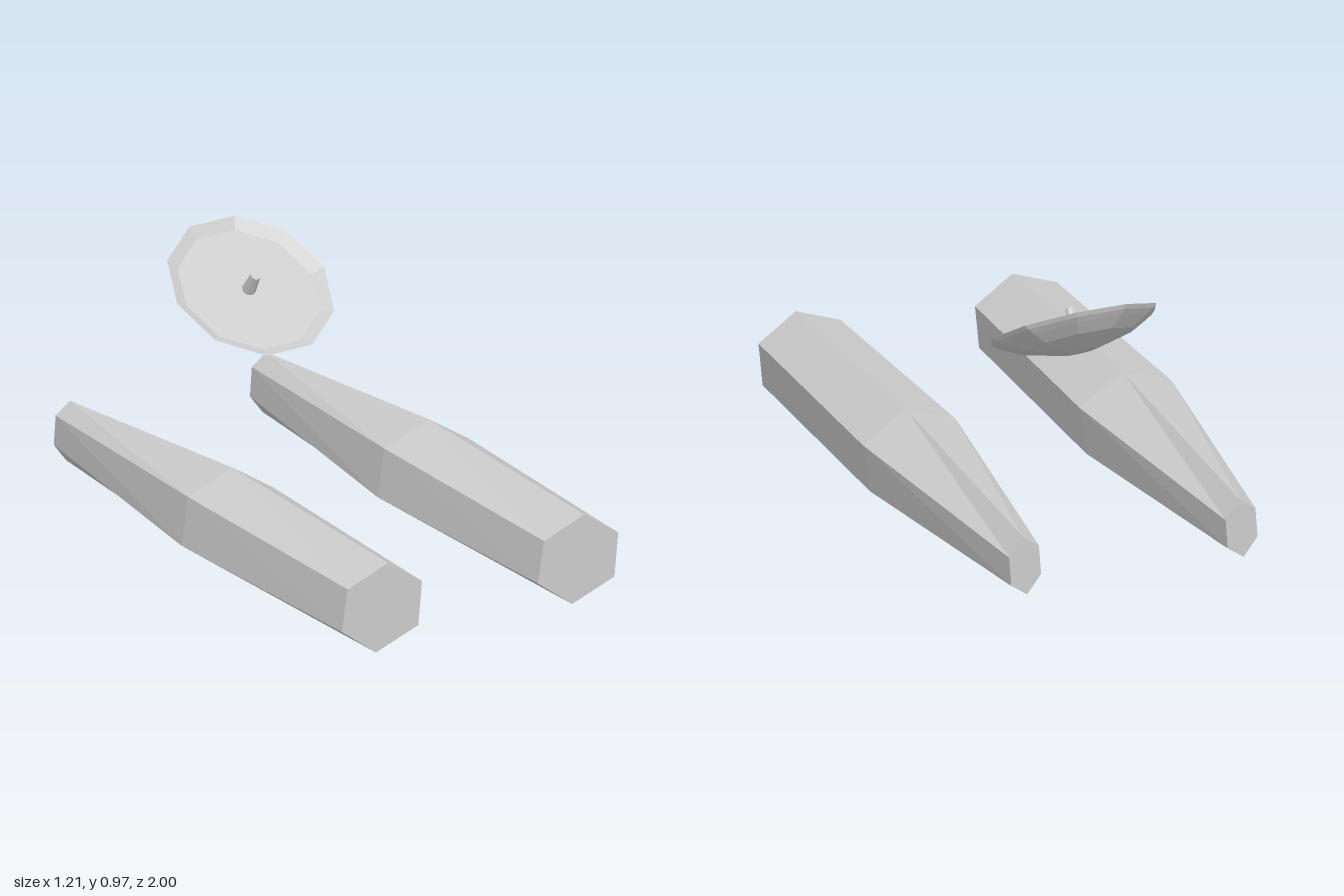
import * as THREE from 'three';

const hull = new THREE.MeshStandardMaterial({ color: 0xcccccc });
hull.name = 'lightGrey';

// One normal per face for crisp low-poly facets
function faceted(geometry) {
  const g = geometry.index ? geometry.toNonIndexed() : geometry;
  g.computeVertexNormals();
  return g;
}

function addMesh(parent, name, geometry) {
  const mesh = new THREE.Mesh(faceted(geometry), hull);
  mesh.name = name;
  parent.add(mesh);
  return mesh;
}

// Hexagonal pod lofted through three sections, clockwise from the top corner
function podGeometry() {
  const sections = [
    { z: 1, ring: [[0.025, 0.335], [0.168, 0.235], [0.152, 0.072], [-0.026, 0.007], [-0.171, 0.117], [-0.145, 0.272]] },
    { z: 0.01, ring: [[0.025, 0.364], [0.191, 0.255], [0.164, 0.073], [-0.026, 0.004], [-0.191, 0.116], [-0.164, 0.295]] },
    { z: -1, ring: [[0.007, 0.283], [0.061, 0.213], [0.053, 0.103], [-0.008, 0.06], [-0.061, 0.13], [-0.053, 0.24]] },
  ];
  const positions = [];
  const index = [];
  sections.forEach(({ z, ring }) => ring.forEach(([x, y]) => positions.push(x, y, z)));
  for (let s = 0; s < 2; s++) {
    for (let i = 0; i < 6; i++) {
      const a = s * 6 + i;
      const b = s * 6 + (i + 1) % 6;
      index.push(a, b, b + 6, a, b + 6, a + 6);
    }
  }
  // End caps
  for (let i = 1; i < 5; i++) {
    index.push(0, i + 1, i);
    index.push(12, 12 + i, 13 + i);
  }
  const g = new THREE.BufferGeometry();
  g.setAttribute('position', new THREE.Float32BufferAttribute(positions, 3));
  g.setIndex(index);
  return g;
}

// Ten-sided bowl with a bevelled lip and a flat sunken floor
function dishGeometry() {
  const profile = [
    [0, -0.1], [0.063, -0.1], [0.205, -0.063], [0.268, -0.03],
    [0.295, -0.014], [0.31, 0], [0.264, -0.023], [0, -0.023],
  ].map(([r, y]) => new THREE.Vector2(r, y));
  return new THREE.LatheGeometry(profile, 10, Math.PI / 10);
}

export function createModel() {
  const model = new THREE.Group();
  model.name = 'podsAndDish';

  // Two identical pods side by side
  for (const [name, x] of [['leftPod', 0.4135], ['rightPod', -0.4135]]) {
    addMesh(model, name, podGeometry()).position.x = x;
  }

  // Dish tilted up and forward, with a tapered feed at its centre
  const antenna = new THREE.Group();
  antenna.name = 'dishAntenna';
  antenna.position.set(0, 0.809, -0.4625);
  antenna.rotation.x = THREE.MathUtils.degToRad(33.3);
  addMesh(antenna, 'dish', dishGeometry());
  const feed = addMesh(antenna, 'feed', new THREE.CylinderGeometry(0.018, 0.026, 0.082, 8));
  feed.position.y = 0.017;
  model.add(antenna);

  return model;
}
